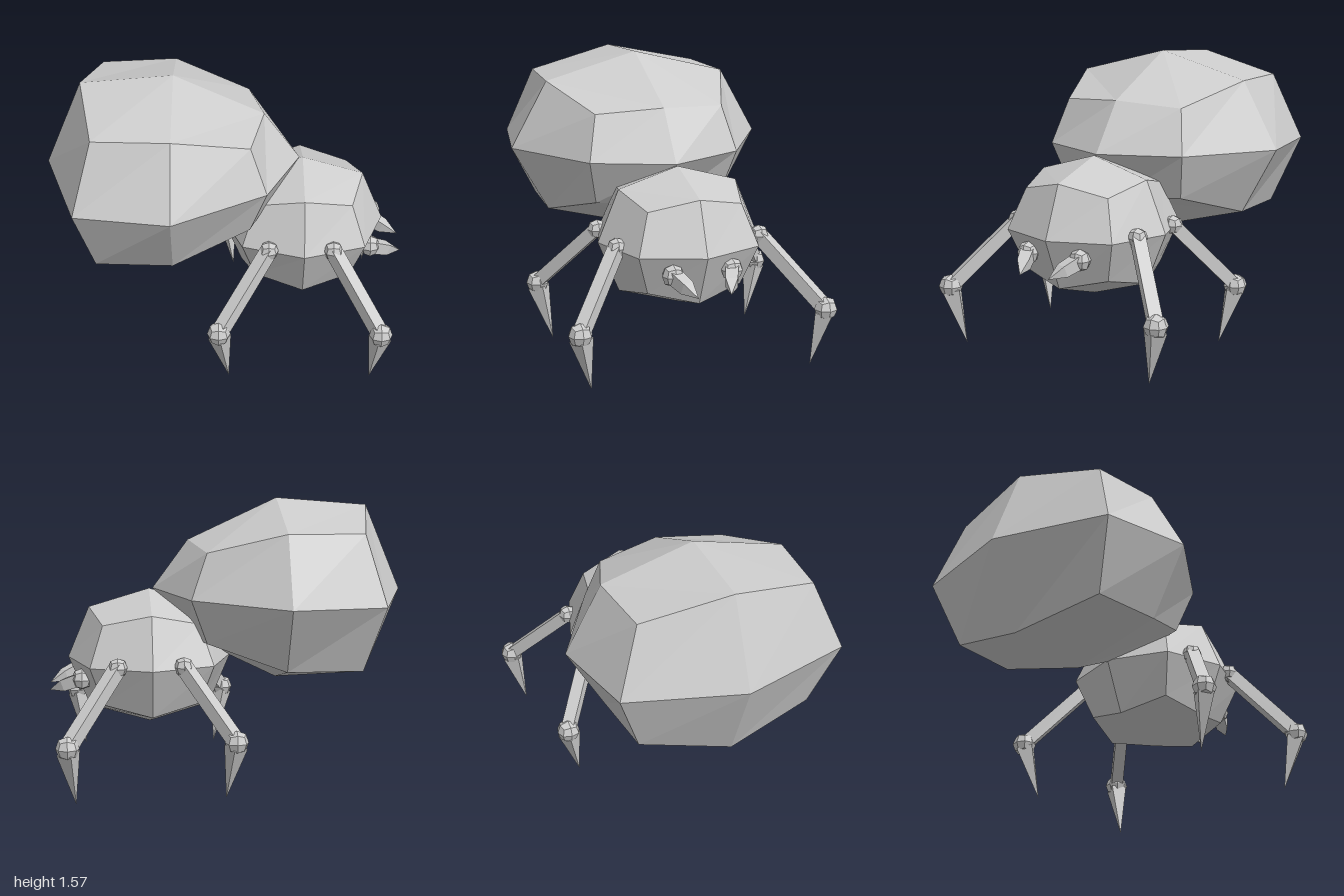
import * as THREE from 'three';

const grey = new THREE.MeshStandardMaterial({ color: 0xcccccc, flatShading: true });
grey.name = 'grey';

// A box with 2 x 2 faces per side, each corner of its 3 x 3 x 3 lattice moved by a rule
function latticeBall(rule) {
  const geo = new THREE.BoxGeometry(2, 2, 2, 2, 2, 2);
  const p = geo.attributes.position;
  for (let i = 0; i < p.count; i++) {
    const s = [p.getX(i), p.getY(i), p.getZ(i)].map(Math.round);
    p.setXYZ(i, ...rule(...s));
  }
  geo.computeVertexNormals();
  return geo;
}

// Regular rounded lattice: poles at 1, edge middles at 0.74, corners at 0.58
function roundBall(rx, ry, rz) {
  return latticeBall((x, y, z) => {
    const k = [0, 1, 0.74, 0.58][Math.abs(x) + Math.abs(y) + Math.abs(z)];
    return [x * rx * k, y * ry * k, z * rz * k];
  });
}

// Abdomen: large at the rear, narrowing toward the waist
function abdomenGeometry() {
  // pole: x; top: x, y; side: x, z; corner: x, y, z
  const rear = { pole: -1.0, top: [-0.8, 0.48], side: [-0.81, 0.64], corner: [-0.71, 0.375, 0.5] };
  const waist = { pole: 0.41, top: [0.21, 0.275], side: [0.22, 0.43], corner: [0.13, 0.25, 0.37] };
  return latticeBall((sx, sy, sz) => {
    let x = -0.29, y = 0, z = 0;
    if (sx === 0) {
      y = sy * (sz ? 0.375 : 0.515);
      z = sz * (sy ? 0.53 : 0.74);
    } else {
      const e = sx < 0 ? rear : waist;
      if (sy && sz) [x, y, z] = [e.corner[0], sy * e.corner[1], sz * e.corner[2]];
      else if (sy) [x, y] = [e.top[0], sy * e.top[1]];
      else if (sz) [x, z] = [e.side[0], sz * e.side[1]];
      else x = e.pole;
    }
    return [x, 1.06 + y + 0.018 * (x + 0.29), z];
  });
}

function add(parent, geo, name, at = [0, 0, 0]) {
  const mesh = new THREE.Mesh(geo, grey);
  mesh.name = name;
  mesh.position.set(...at);
  parent.add(mesh);
  return mesh;
}

// Four-sided limb from a to b; widths are half-diagonals at evenly spaced stations
function limb(parent, name, a, b, radii) {
  const length = new THREE.Vector3(...a).distanceTo(new THREE.Vector3(...b));
  const profile = [new THREE.Vector2(0, 0)];
  radii.forEach(([r, t]) => profile.push(new THREE.Vector2(r, t * length)));
  if (radii[radii.length - 1][0] > 0) profile.push(new THREE.Vector2(0, length));
  const geo = new THREE.LatheGeometry(profile, 4, Math.PI / 4);
  geo.rotateX(Math.PI / 2);
  add(parent, geo, name, a).lookAt(...b);
}

export function createModel() {
  const model = new THREE.Group();
  model.name = 'spider';

  add(model, abdomenGeometry(), 'abdomen');
  add(model, roundBall(0.46, 0.385, 0.455), 'thorax', [0.43, 0.685, 0]);

  // Legs: hip, knee and foot tip
  const legs = [
    ['frontLeftLeg', [0.62, 0.7, -0.4], [0.895, 0.335, -0.68], [0.855, 0.005, -0.615]],
    ['frontRightLeg', [0.59, 0.7, 0.4], [0.845, 0.335, 0.68], [0.8, 0.005, 0.61]],
    ['backLeftLeg', [0.26, 0.7, -0.4], [-0.005, 0.335, -0.645], [0.045, 0.005, -0.57]],
    ['backRightLeg', [0.235, 0.7, 0.4], [-0.04, 0.335, 0.67], [0.015, 0.005, 0.6]],
  ];
  for (const [name, hip, knee, tip] of legs) {
    const leg = new THREE.Group();
    leg.name = name;
    add(leg, roundBall(0.053, 0.053, 0.053), 'hip', hip);
    limb(leg, 'upperLeg', hip, knee, [[0.05, 0], [0.05, 1]]);
    add(leg, roundBall(0.064, 0.064, 0.064), 'knee', knee);
    limb(leg, 'lowerLeg', knee, tip, [[0.064, 0.08], [0, 1]]);
    model.add(leg);
  }

  // Fangs, curving inward at the front of the head
  for (const s of [-1, 1]) {
    const fang = new THREE.Group();
    fang.name = s > 0 ? 'rightFang' : 'leftFang';
    add(fang, roundBall(0.056, 0.06, 0.06), 'fangBase', [0.815, 0.59, s * 0.165]);
    limb(fang, 'fangTip', [0.83, 0.585, s * 0.16], [0.997, 0.515, s * 0.09],
      [[0.05, 0], [0.045, 0.5], [0, 1]]);
    model.add(fang);
  }

  return model;
}
